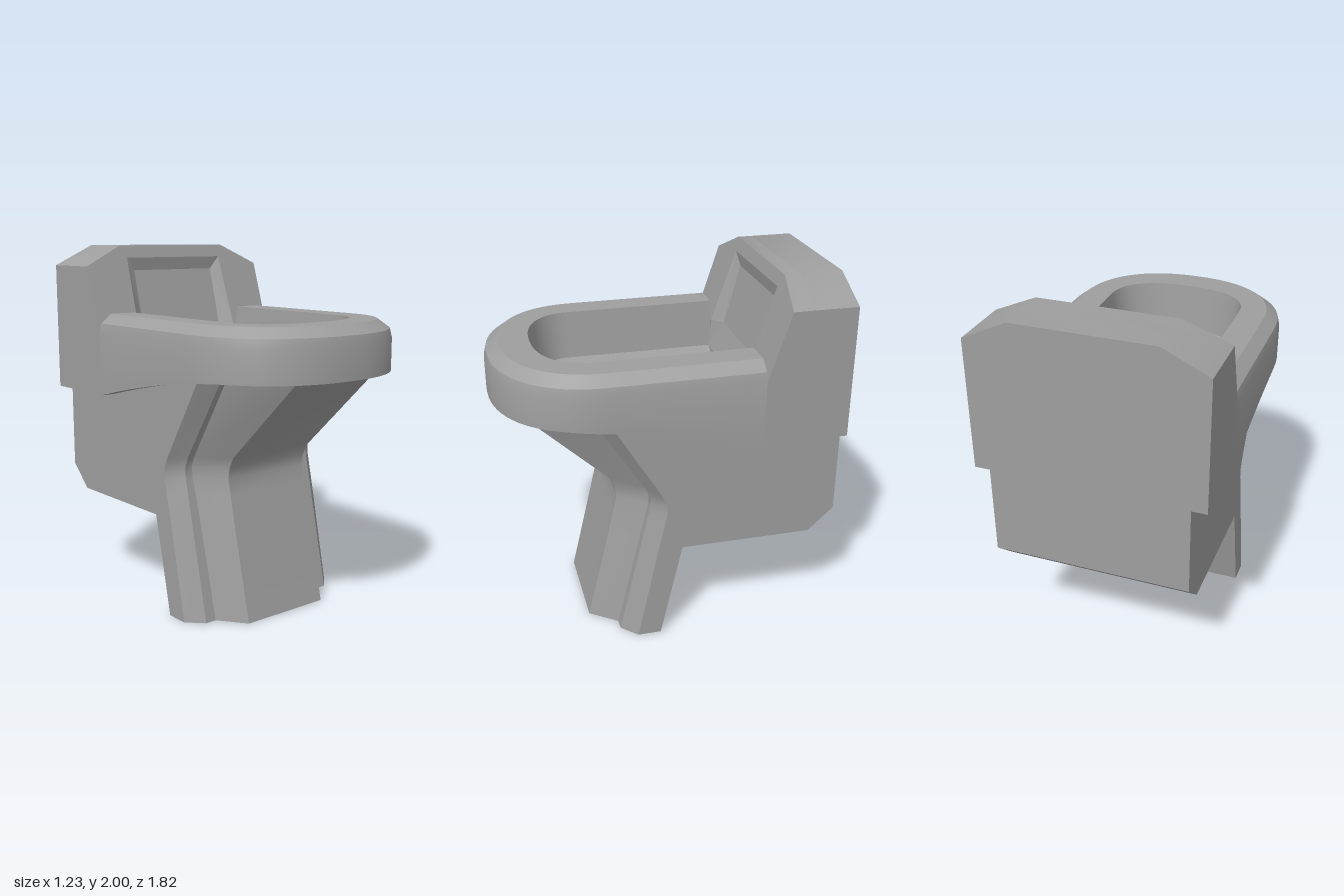
import * as THREE from 'three';
import { toCreasedNormals } from 'three/addons/utils/BufferGeometryUtils.js';

const material = new THREE.MeshStandardMaterial({ color: 0x9e9e9e, side: THREE.DoubleSide });

function addMesh(group, name, geometry, crease = 0.55) {
  const mesh = new THREE.Mesh(toCreasedNormals(geometry, crease), material);
  mesh.name = name;
  group.add(mesh);
}

// Skin between equal-length cross-sections; optional fan caps on first / last
function loft(rows, { closed = true, capStart = false, capEnd = false } = {}) {
  const n = rows[0].length;
  const pos = rows.flat(2);
  const index = [];
  for (let r = 0; r < rows.length - 1; r++) {
    for (let i = 0; i < (closed ? n : n - 1); i++) {
      const a = r * n + i, b = r * n + (i + 1) % n;
      index.push(a, b, b + n, a, b + n, a + n);
    }
  }
  const cap = (r, flip) => {
    const centre = pos.length / 3;
    for (let k = 0; k < 3; k++) pos.push(rows[r].reduce((s, p) => s + p[k], 0) / n);
    for (let i = 0; i < n; i++) {
      const a = r * n + i, b = r * n + (i + 1) % n;
      index.push(centre, flip ? b : a, flip ? a : b);
    }
  };
  if (capStart) cap(0, true);
  if (capEnd) cap(rows.length - 1, false);
  const g = new THREE.BufferGeometry();
  g.setAttribute('position', new THREE.Float32BufferAttribute(pos, 3));
  g.setIndex(index);
  return g;
}

// U-shaped plan path: straight side, rounded front, straight side
function uPath(hx, zc, rz, e) {
  const pts = [], straight = 10, arc = 36;
  for (let i = 0; i < straight; i++) pts.push([hx, -0.445 + (zc + 0.445) * i / straight]);
  for (let i = 0; i <= arc; i++) {
    const c = Math.cos(Math.PI * i / arc), s = Math.max(0, Math.sin(Math.PI * i / arc));
    pts.push([hx * Math.sign(c) * Math.abs(c) ** (2 / e), zc + rz * s ** (2 / e)]);
  }
  for (let i = straight - 1; i >= 0; i--) pts.push([-hx, pts[i][1]]);
  return pts;
}

// Lower edge of the rim sweeps down towards the back
const rimBottom = z => 1.35 - 0.18 * Math.max(0, 1 - (z + 0.445) / 1.05) ** 1.5;
// Front of the backrest leans back above the rim
const backFront = y => -0.445 - Math.max(0, y - 1.52) * 0.32;

function extrudeBlock(outline, leaning) {
  const shape = new THREE.Shape(outline.map(p => new THREE.Vector2(...p)));
  const g = new THREE.ExtrudeGeometry(shape, { depth: 0.23, bevelEnabled: false });
  g.translate(0, 0, leaning ? -0.68 : -0.91);
  if (leaning) {
    const p = g.attributes.position;
    for (let i = 0; i < p.count; i++) if (p.getZ(i) > -0.5) p.setZ(i, backFront(p.getY(i)));
  }
  return g;
}

export function createModel() {
  const group = new THREE.Group();

  // Pedestal: y, front z, step z, side z, back z, step x
  const levels = [
    [0, 0.445, 0.295, 0.21, 0.08, 0.38],
    [0.55, 0.318, 0.172, 0.095, -0.04, 0.39],
    [0.55, 0.318, 0.172, 0.095, -0.77, 0.39],
    [0.68, 0.29, 0.143, 0.066, -0.91, 0.395],
    [0.77, 0.27, 0.123, 0.046, -0.91, 0.4],
    [0.83, 0.28, 0.118, 0.047, -0.91, 0.4],
    [0.89, 0.31, 0.143, 0.075, -0.91, 0.402],
    [1.35, 0.8, 0.437, 0.355, -0.91, 0.41],
  ];
  const pedestal = levels.map(([y, zf, zm, zs, zb, xm]) => {
    const half = [[0.27, zf], [xm, zm], [0.445, zm], [0.53, zs], [0.53, zb]];
    const other = half.map(([x, z]) => [-x, z]).reverse();
    return [...other, ...half].map(([x, z]) => [x, y, z]);
  });
  addMesh(group, 'pedestal', loft(pedestal, { capStart: true }));

  // Rim: a bevelled section carried around the U path
  const outer = uPath(0.613, 0.35, 0.56, 2.25);
  const bevel = [0.012, 0.077].map(d => uPath(0.613 - d, 0.35, 0.56 - d, 2.25));
  const innerTop = uPath(0.385, 0.4, 0.27, 2.3);
  const innerLow = uPath(0.355, 0.4, 0.24, 2.3);
  const rim = outer.map(([x, z], i) => {
    const [ix, iz] = innerLow[i], yb = rimBottom(z);
    const at = ([px, pz], y) => [px, y, pz];
    return [
      [x + (ix - x) * 0.35, yb, z + (iz - z) * 0.35],
      [x, yb, z],
      [x, 1.525, z],
      at(bevel[0][i], 1.575),
      at(bevel[1][i], 1.625),
      at(innerTop[i], 1.625),
      at(innerLow[i], 1.36),
    ];
  });
  addMesh(group, 'rim', loft(rim, { capStart: true, capEnd: true }));

  // Bowl floor: falls from the rim wall to a central crease
  const floor = innerLow.map(([x, z]) => {
    const cz = Math.min(z, 0.12);
    return [[x, 1.36, z], [0, 1.1 + (cz + 0.445) * 0.26, cz]];
  });
  addMesh(group, 'bowlFloor', loft(floor, { closed: false }));

  // Low block over the outlet at the back of the bowl
  const block = new THREE.BoxGeometry(0.4, 0.18, 0.08);
  block.translate(0, 1.18, -0.35);
  addMesh(group, 'outletBlock', block);

  // Backrest: rear slab, then front pieces notched for the recess
  const top = [[0.613, 1.885], [0.37, 2], [-0.37, 2], [-0.613, 1.885]];
  addMesh(group, 'backrestSlab', extrudeBlock([[-0.613, 1.17], [0.613, 1.17], ...top], false));
  addMesh(group, 'backrestLower', extrudeBlock([
    [-0.613, 1.17], [0.613, 1.17], [0.613, 1.52], [0.35, 1.52],
    [0.35, 1.36], [-0.35, 1.36], [-0.35, 1.52], [-0.613, 1.52]], true), 0.2);
  addMesh(group, 'backrestUpper', extrudeBlock([
    [-0.613, 1.52], [-0.35, 1.52], [-0.335, 1.93], [0.335, 1.93],
    [0.35, 1.52], [0.613, 1.52], ...top], true));

  // Recess: shallow bevelled sides, sloping sill and leaning back panel
  const mirror = pts => [...pts, ...pts.map(([x, y, z]) => [-x, y, z]).reverse()];
  const lip = mirror([[0.35, 1.36, -0.43], [0.35, 1.52, -0.445], [0.335, 1.93, backFront(1.93)]]);
  const panel = mirror([[0.28, 1.52, -0.5], [0.28, 1.52, -0.5], [0.28, 1.857, -0.588]]);
  addMesh(group, 'recess', loft([lip, panel], { capEnd: true }), 0.08);

  // Rear wall of the bowl below the sill
  const wall = [[[-0.36, 1.365, -0.435], [0.36, 1.365, -0.435]], [[0, 1.09, -0.435], [0, 1.09, -0.435]]];
  addMesh(group, 'bowlBackWall', loft(wall, { closed: false }));

  return group;
}
